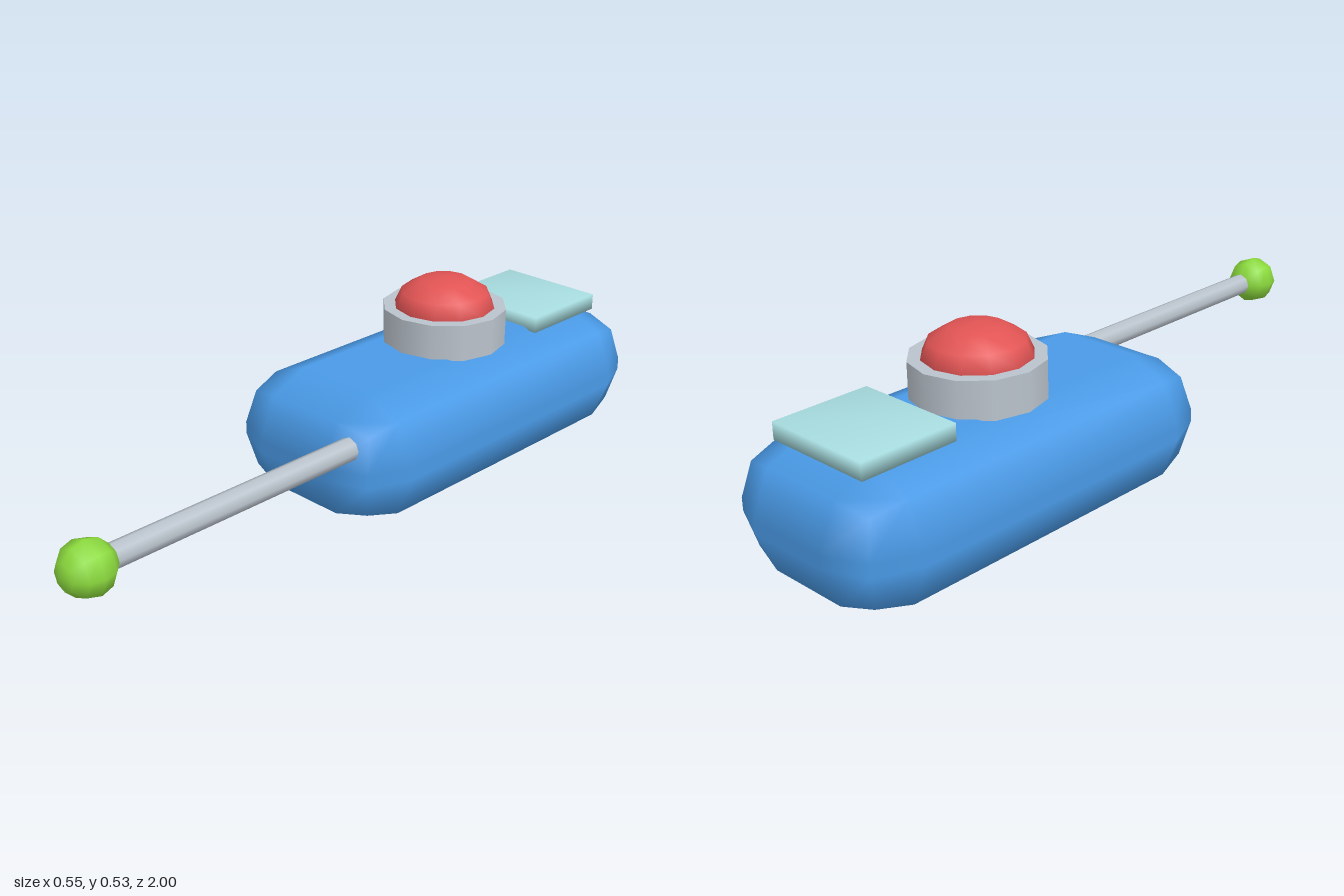
import * as THREE from 'three';
import { mergeVertices } from 'three/addons/utils/BufferGeometryUtils.js';
import { RoundedBoxGeometry } from 'three/addons/geometries/RoundedBoxGeometry.js';

function material(name, color) {
  const m = new THREE.MeshStandardMaterial({ color });
  m.name = name;
  return m;
}

// Shares corners between faces so the shading runs smoothly over the edges
function softened(geometry) {
  geometry.deleteAttribute('normal');
  geometry.deleteAttribute('uv');
  const merged = mergeVertices(geometry);
  merged.computeVertexNormals();
  return merged;
}

export function createModel() {
  const group = new THREE.Group();
  const blue = material('blue', 0x4a9be8);
  const red = material('red', 0xe25454);
  const grey = material('grey', 0xbac3cc);
  const green = material('green', 0x8cdb3e);
  const cyan = material('paleCyan', 0xa8dde0);

  function add(name, geometry, mat, x, y, z) {
    const mesh = new THREE.Mesh(geometry, mat);
    mesh.name = name;
    mesh.position.set(x, y, z);
    group.add(mesh);
    return mesh;
  }

  // Casing with coarse rounded edges
  add('body', new RoundedBoxGeometry(0.55, 0.354, 1.17, 1, 0.16), blue, 0, 0.177, -0.415);

  // Push button: collar on a slightly narrower foot, and a flattened dome
  const buttonZ = -0.415;
  add('buttonFoot', new THREE.CylinderGeometry(0.157, 0.157, 0.03, 12), grey, 0, 0.357, buttonZ);
  add('buttonCollar', new THREE.CylinderGeometry(0.172, 0.172, 0.101, 12), grey, 0, 0.3995, buttonZ);
  const dome = new THREE.SphereGeometry(0.14, 12, 3, 0, Math.PI * 2, 0, Math.PI / 2);
  dome.scale(1, 0.6, 1);
  add('buttonDome', dome, red, 0, 0.449, buttonZ);

  // Raised screen at the back of the top
  add('screen', softened(new THREE.BoxGeometry(0.31, 0.045, 0.27)), cyan, 0, 0.368, -0.767);

  // Antenna pointing forward, with a ball on its tip
  const rod = new THREE.CylinderGeometry(0.031, 0.031, 0.8, 8).rotateX(Math.PI / 2);
  add('antennaRod', rod, grey, 0.171, 0.256, 0.53);
  const ball = new THREE.SphereGeometry(0.07, 8, 6).rotateX(Math.PI / 2);
  add('antennaTip', ball, green, 0.171, 0.256, 0.93);

  return group;
}
